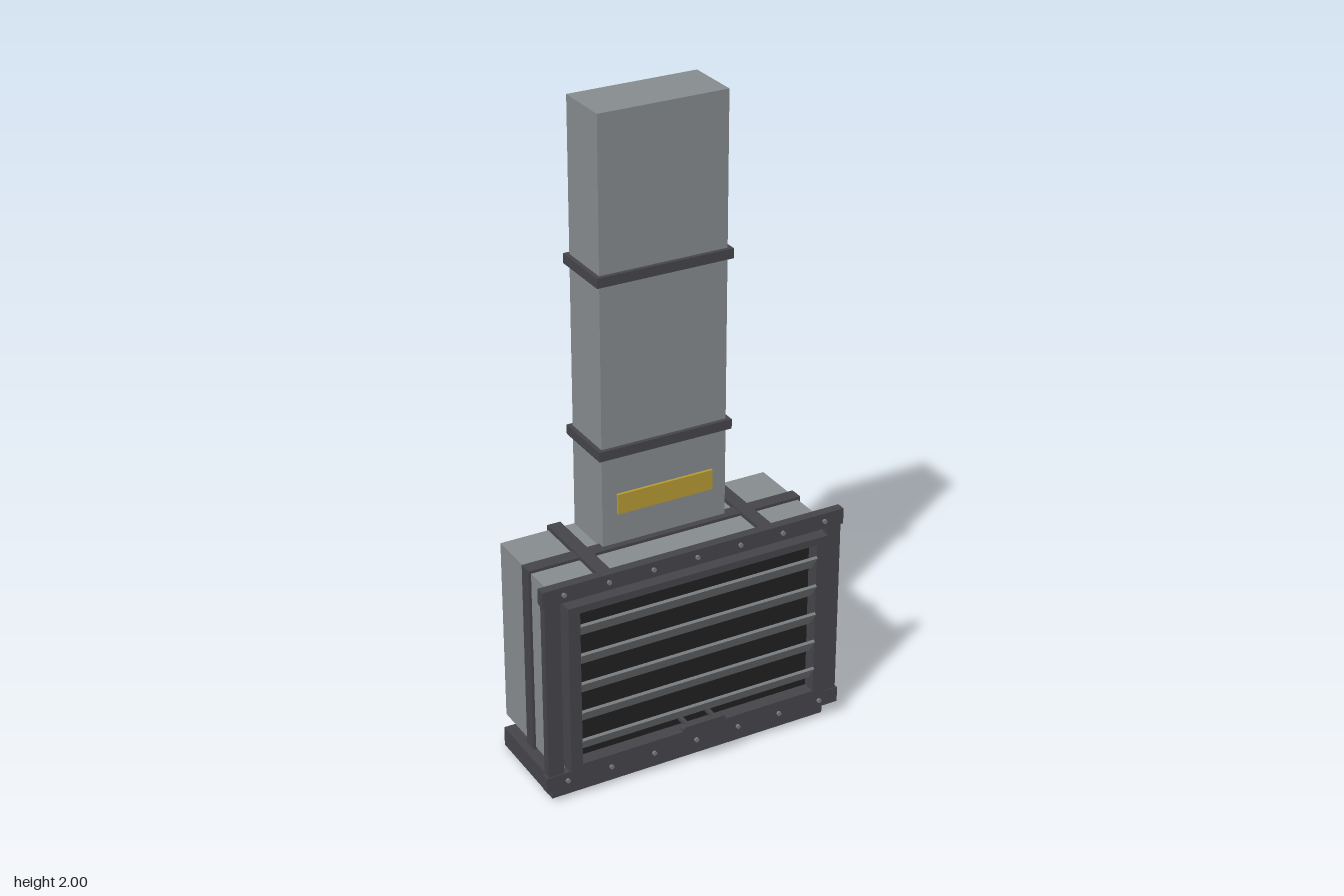
import * as THREE from 'three';

const mat = (name, color, side = THREE.FrontSide) => {
  const m = new THREE.MeshStandardMaterial({ color, side });
  m.name = name;
  return m;
};

export function createModel() {
  const root = new THREE.Group();
  root.name = 'louvredFireplace';
  const steel = mat('grey steel', 0x868b8e);
  const iron = mat('dark iron', 0x454449);
  const black = mat('black interior', 0x202021);
  const slatGrey = mat('slat grey', 0x777b7d);
  const brass = mat('brass yellow', 0xb59a33);

  const add = (name, geometry, material, parent = root) => {
    const mesh = new THREE.Mesh(geometry, material);
    mesh.name = name;
    parent.add(mesh);
    return mesh;
  };
  // Box given by its limits on each axis
  const box = (name, material, [x0, x1], [y0, y1], [z0, z1], parent = root) => {
    const mesh = add(name, new THREE.BoxGeometry(x1 - x0, y1 - y0, z1 - z0), material, parent);
    mesh.position.set((x0 + x1) / 2, (y0 + y1) / 2, (z0 + z1) / 2);
    return mesh;
  };
  // Rectangular ring centred on the origin, extruded along z
  const ring = (w, h, iw, ih, depth) => {
    const rect = (P, a, b) => {
      const p = new P();
      p.moveTo(-a / 2, -b / 2).lineTo(a / 2, -b / 2).lineTo(a / 2, b / 2).lineTo(-a / 2, b / 2).closePath();
      return p;
    };
    const shape = rect(THREE.Shape, w, h);
    shape.holes.push(rect(THREE.Path, iw, ih));
    return new THREE.ExtrudeGeometry(shape, { depth, bevelEnabled: false });
  };

  // Base slab
  box('baseSlab', iron, [-0.46, 0.46], [0, 0.062], [-0.185, 0.13]);

  // Firebox with a rimmed dark back
  box('firebox', steel, [-0.442, 0.442], [0.092, 0.68], [-0.195, 0.137]);
  add('backRim', ring(0.884, 0.588, 0.84, 0.544, 0.01), steel).position.set(0, 0.386, -0.205);
  box('backPanel', black, [-0.42, 0.42], [0.114, 0.658], [-0.2, -0.195]);

  // Band around the firebox and straps over its top
  add('fireboxBand', ring(0.9, 0.604, 0.88, 0.584, 0.043), iron).position.set(0, 0.387, -0.05);
  for (const s of [-1, 1]) {
    const strap = box('topStrap', iron, [-0.0215, 0.0215], [0.675, 0.693], [-0.213, 0.137]);
    strap.position.x = s * 0.266;
  }

  // Flue with two collars and a nameplate
  box('flue', steel, [-0.202, 0.202], [0.68, 2], [-0.204, -0.028]);
  for (const y of [0.987, 1.52]) {
    const collar = add('flueCollar', ring(0.43, 0.202, 0.4, 0.172, 0.03), iron);
    collar.rotation.x = -Math.PI / 2;
    collar.position.set(0, y - 0.015, -0.116);
  }
  box('nameplate', brass, [-0.155, 0.155], [0.787, 0.85], [-0.028, -0.019]);

  // Front flange of four bars
  const flange = new THREE.Group();
  flange.name = 'frontFlange';
  root.add(flange);
  for (const [y0, y1] of [[0.05, 0.1], [0.67, 0.72]])
    box('flangeRail', iron, [-0.492, 0.492], [y0, y1], [0.135, 0.164], flange);
  for (const s of [-1, 1]) {
    const post = box('flangePost', iron, [-0.0245, 0.0245], [0.1, 0.67], [0.135, 0.161], flange);
    post.position.x = s * 0.4605;
  }

  // Rivets along both rails
  const rivetGeo = new THREE.CylinderGeometry(0.007, 0.007, 0.008, 10).rotateX(Math.PI / 2);
  for (const y of [0.074, 0.696])
    for (let i = -3; i <= 3; i++) add('rivet', rivetGeo, slatGrey, flange).position.set(i * 0.142, y, 0.167);

  // Louvred door
  const door = new THREE.Group();
  door.name = 'louvreDoor';
  root.add(door);
  add('doorFrame', ring(0.85, 0.55, 0.776, 0.505, 0.051), iron, door).position.set(0, 0.385, 0.137);
  box('doorBacking', black, [-0.39, 0.39], [0.13, 0.64], [0.137, 0.145], door);
  for (let i = 0; i < 5; i++) {
    // Slats lean outward at the top
    const slat = add('slat', new THREE.BoxGeometry(0.776, 0.058, 0.009), slatGrey, door);
    slat.position.set(0, 0.192 + i * 0.0955, 0.174);
    slat.rotation.x = 0.6;
  }

  // Door handle with rounded ends
  const handle = new THREE.Shape();
  handle.moveTo(-0.06, -0.011).lineTo(0.06, -0.011);
  handle.absarc(0.06, 0, 0.011, -Math.PI / 2, Math.PI / 2, false);
  handle.lineTo(-0.06, 0.011);
  handle.absarc(-0.06, 0, 0.011, Math.PI / 2, Math.PI * 1.5, false);
  add('handle', new THREE.ExtrudeGeometry(handle, { depth: 0.019, bevelEnabled: false, curveSegments: 6 }), iron, door)
    .position.set(0, 0.154, 0.194);
  for (const x of [-0.045, 0.045])
    box('handlePost', iron, [x - 0.006, x + 0.006], [0.148, 0.16], [0.143, 0.196], door);

  return root;
}
